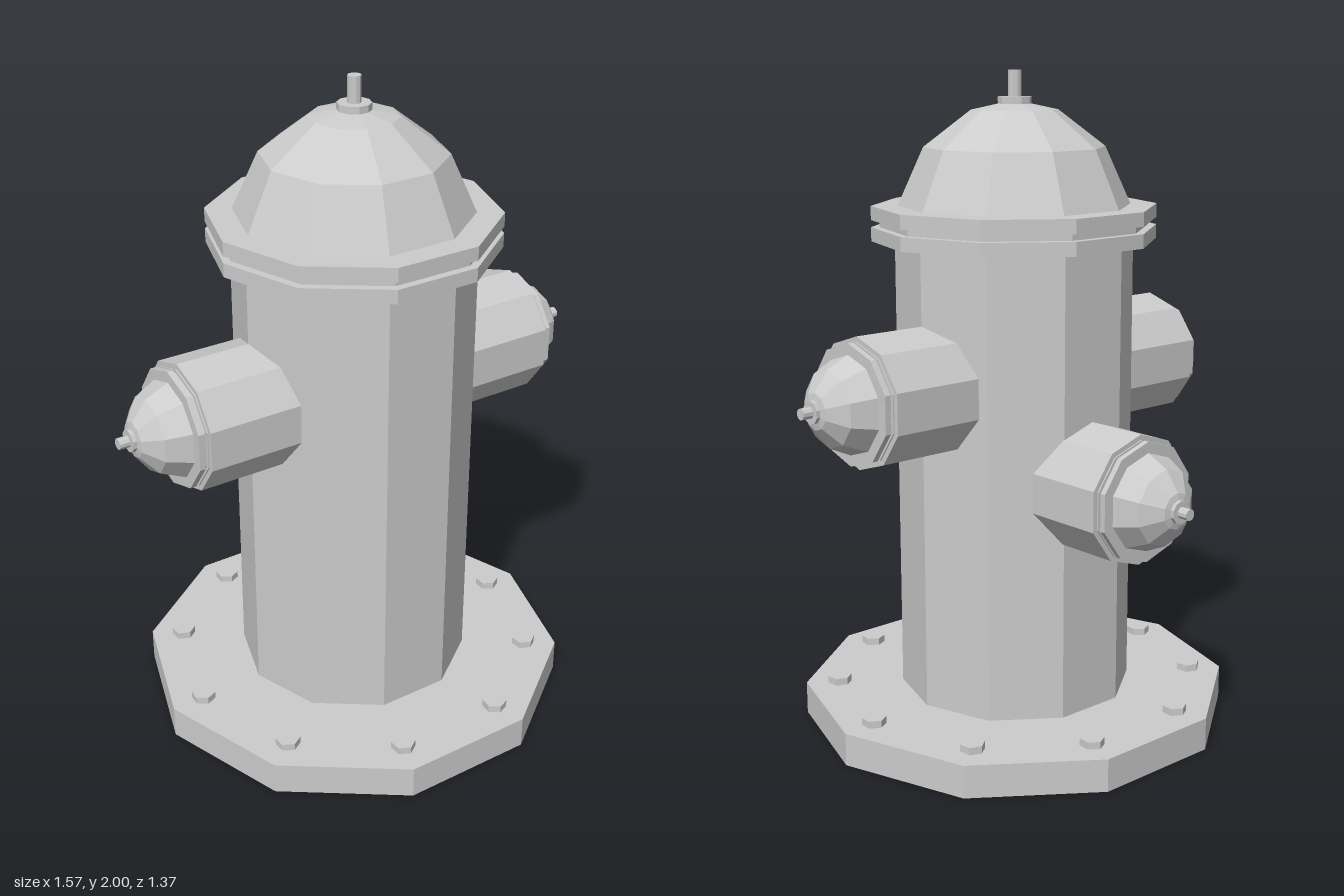
import * as THREE from 'three';

const SIDES = 10;
const material = new THREE.MeshStandardMaterial({ color: 0xcccccc, flatShading: true });

function add(parent, name, geometry) {
  const mesh = new THREE.Mesh(geometry, material);
  mesh.name = name;
  parent.add(mesh);
  return mesh;
}

// Upright prism from y0 to y1 with a corner on the x axis
function disc(parent, name, radius, y0, y1, sides = SIDES) {
  const geometry = new THREE.CylinderGeometry(radius, radius, y1 - y0, sides, 1, false, Math.PI / 2);
  return add(parent, name, geometry.translate(0, (y0 + y1) / 2, 0));
}

// Double flange, faceted dome, washer and stem; y = 0 is the top of the flange
function makeCap(name, s, washerRadius, stemRadius) {
  const cap = new THREE.Group();
  cap.name = name;
  disc(cap, 'lowerFlange', 0.43 * s, -0.105 * s, -0.063 * s);
  disc(cap, 'flangeGroove', 0.405 * s, -0.063 * s, -0.042 * s);
  disc(cap, 'upperFlange', 0.43 * s, -0.042 * s, 0);
  const profile = [[0.35, 0], [0.272, 0.172], [0.13, 0.28], [0, 0.308]]
    .map(([r, y]) => new THREE.Vector2(r * s, y * s));
  add(cap, 'dome', new THREE.LatheGeometry(profile, SIDES, Math.PI / 2));
  disc(cap, 'washer', washerRadius, 0.285 * s, 0.318 * s);
  disc(cap, 'stem', stemRadius, 0.3 * s, 0.395 * s);
  return cap;
}

// Outlet pointing along +x from its own origin
function makeOutlet(name) {
  const outlet = new THREE.Group();
  outlet.name = name;
  const pipe = new THREE.Group();
  pipe.name = 'pipe';
  pipe.rotation.z = -Math.PI / 2;
  disc(pipe, 'barrel', 0.194, 0.15, 0.59);
  const cap = makeCap('outletCap', 0.415, 0.034, 0.017);
  cap.position.y = 0.62;
  pipe.add(cap);
  outlet.add(pipe);
  return outlet;
}

export function createModel() {
  const model = new THREE.Group();
  model.name = 'hydrant';
  const hydrant = new THREE.Group();
  hydrant.name = 'hydrantBody';
  hydrant.position.z = 0.05;
  model.add(hydrant);

  // Base plate and barrel
  disc(hydrant, 'basePlate', 0.665, 0, 0.1);
  disc(hydrant, 'mainBarrel', 0.36, 0.1, 1.51);

  // Ring of hexagonal bolts
  for (let i = 0; i < SIDES; i++) {
    const a = (i / SIDES) * Math.PI * 2;
    const bolt = disc(hydrant, 'bolt', 0.037, 0.09, 0.122, 6);
    bolt.position.set(0.56 * Math.cos(a), 0, 0.56 * Math.sin(a));
    bolt.rotation.y = Math.PI / 6 + 0.12 * Math.sin(i * 2.3);
  }

  // Domed top
  const topCap = makeCap('topCap', 1, 0.05, 0.02);
  topCap.position.y = 1.605;
  hydrant.add(topCap);

  // Two side outlets and a lower rear one
  const outlets = [
    ['leftOutlet', 1.083, 0, 0],
    ['rightOutlet', 1.083, 0, Math.PI],
    ['rearOutlet', 0.803, 0.05, Math.PI / 2],
  ];
  for (const [name, y, z, turn] of outlets) {
    const outlet = makeOutlet(name);
    outlet.position.set(0, y, z);
    outlet.rotation.y = turn;
    hydrant.add(outlet);
  }
  return model;
}
